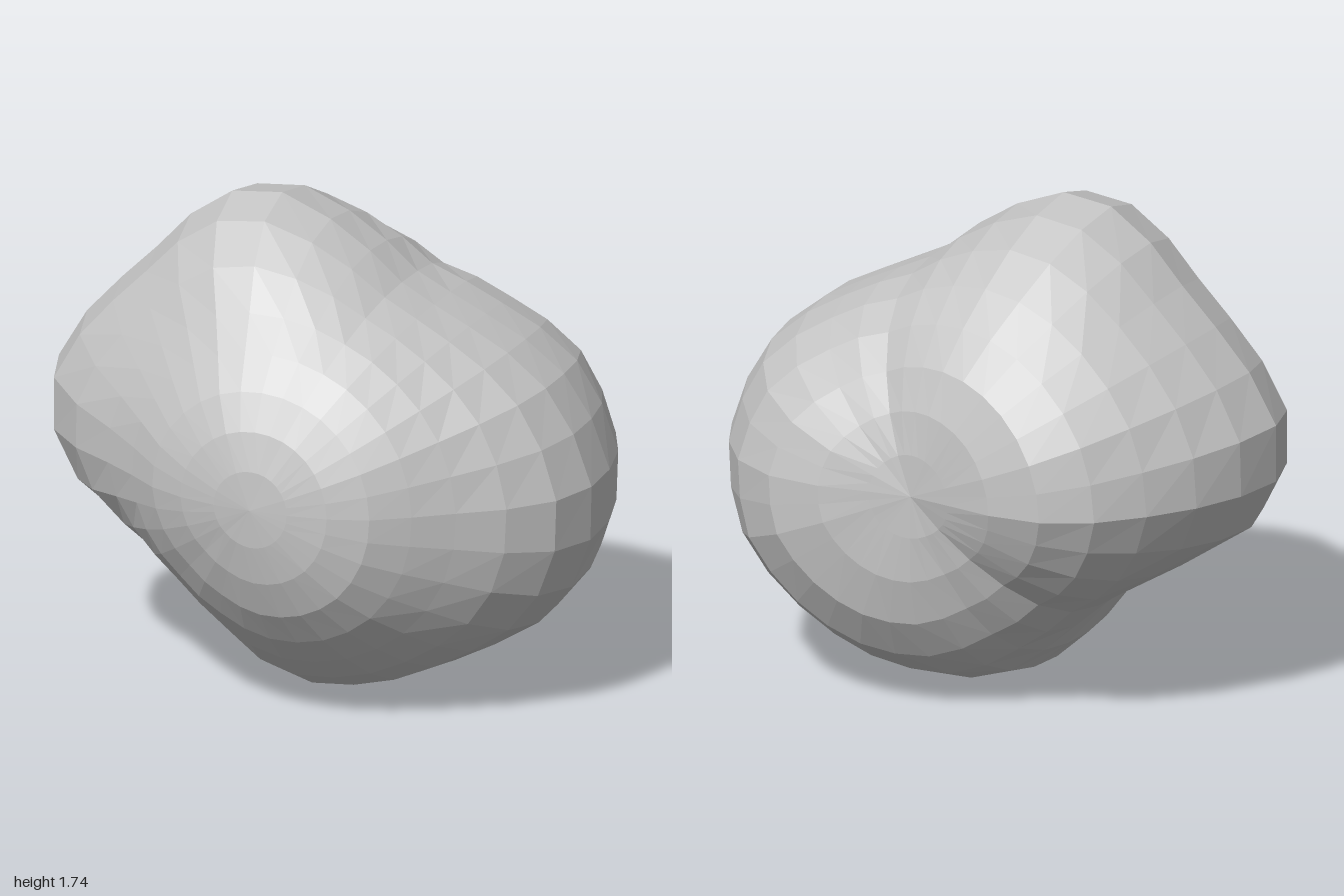
import * as THREE from 'three';

const SIDES = 32;
const RINGS = 16;
const CENTRE = new THREE.Vector3(0.02, 0.83, 0.05);
const FRONT_POLE = 0.70;
const BACK_POLE = 0.755;

// radius of the widest outline, counter-clockwise from +x in 32 even steps
const OUTLINE = [
  0.98, 0.93, 0.875, 0.80, 0.735, 0.70, 0.70, 0.76,
  0.84, 0.93, 0.965, 0.945, 0.92, 0.94, 0.99, 1.04,
  1.02, 0.94, 0.80, 0.69, 0.645, 0.655, 0.73, 0.80,
  0.83, 0.83, 0.835, 0.845, 0.88, 0.94, 0.98, 0.995,
];

// radius halfway to the front pole, in 16 even steps
const FRONT = [
  0.765, 0.75, 0.72, 0.70, 0.71, 0.73, 0.735, 0.74,
  0.735, 0.72, 0.70, 0.71, 0.74, 0.76, 0.775, 0.775,
];

// radius halfway to the back pole, in 16 even steps
const BACK = [
  1.00, 0.94, 0.83, 0.765, 0.81, 0.865, 0.91, 0.96,
  0.97, 0.88, 0.78, 0.80, 0.88, 0.93, 0.97, 1.01,
];

// linear lookup in a closed ring of radii
function sample(ring, angle) {
  const n = ring.length;
  const t = ((angle / (2 * Math.PI)) * n + 2 * n) % n;
  const i = Math.floor(t);
  return THREE.MathUtils.lerp(ring[i % n], ring[(i + 1) % n], t - i);
}

// distance of the surface from the centre in a unit direction:
// eased from the outline to the halfway ring and on to the pole
function radius(d) {
  const { lerp, smoothstep } = THREE.MathUtils;
  const angle = Math.atan2(d.y, d.x);
  const t = Math.asin(Math.min(1, Math.abs(d.z))) / (Math.PI / 2);
  const ring = sample(d.z > 0 ? FRONT : BACK, angle);
  const pole = d.z > 0 ? FRONT_POLE : BACK_POLE;
  return t < 0.5
    ? lerp(sample(OUTLINE, angle), ring, smoothstep(t, 0, 0.5))
    : lerp(ring, pole, smoothstep(t, 0.5, 1));
}

export function createModel() {
  const group = new THREE.Group();
  group.name = 'boulder';

  const stone = new THREE.MeshStandardMaterial({ color: 0xc4c4c4, flatShading: true });
  stone.name = 'stone grey';

  // sphere with its poles to front and back, pushed out into lobes
  const geometry = new THREE.SphereGeometry(1, SIDES, RINGS);
  geometry.rotateX(Math.PI / 2);
  const pos = geometry.attributes.position;
  const d = new THREE.Vector3();
  for (let i = 0; i < pos.count; i++) {
    d.fromBufferAttribute(pos, i).normalize();
    d.multiplyScalar(radius(d)).add(CENTRE);
    pos.setXYZ(i, d.x, Math.max(0, d.y), d.z);
  }
  geometry.computeVertexNormals();

  const rock = new THREE.Mesh(geometry, stone);
  rock.name = 'rock';
  group.add(rock);
  return group;
}
